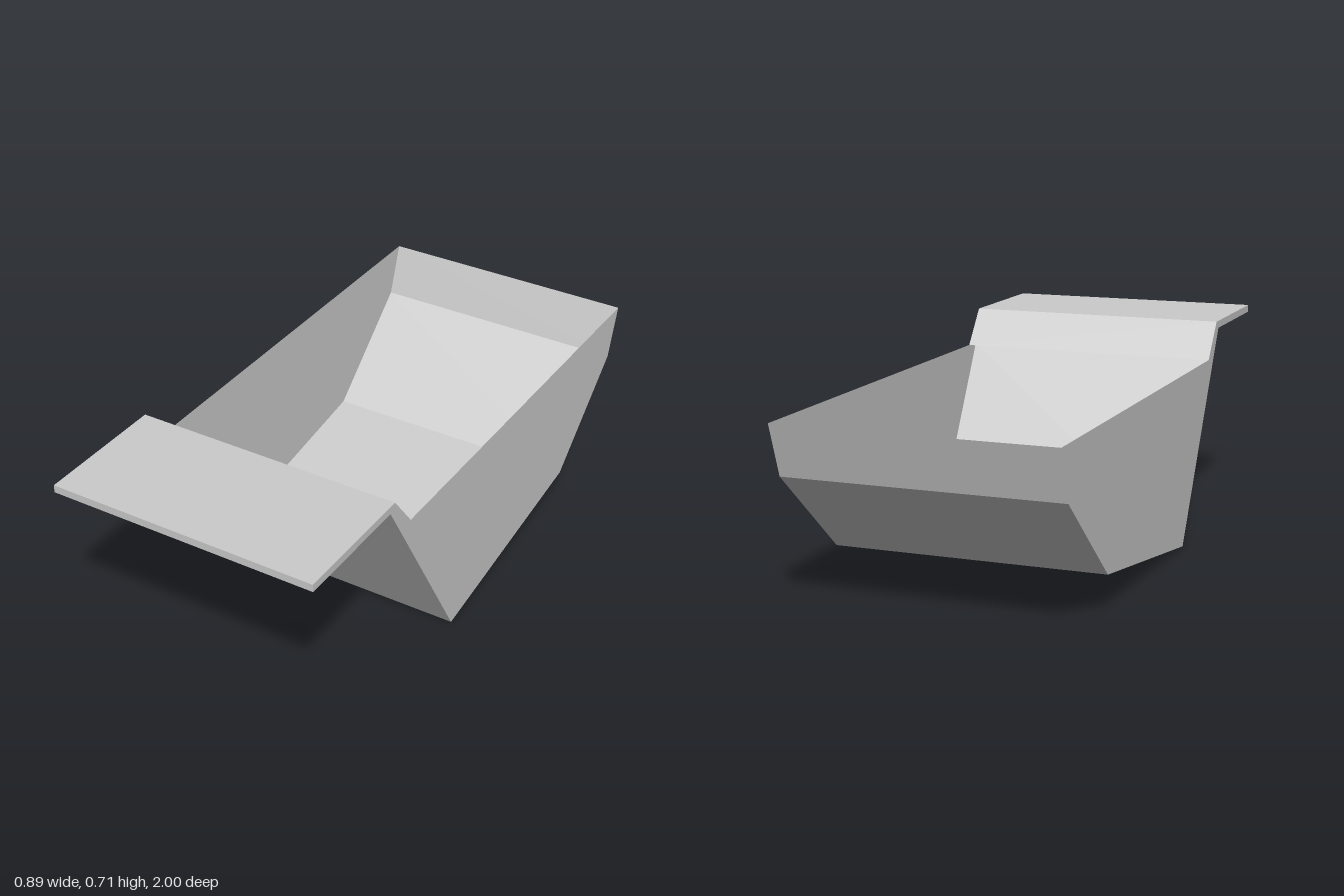
import * as THREE from 'three';

const HALF = 0.447; // half of the width

// Trough section as [z, y], from the front rim under the floor to the back rim
const SECTION = [[0.53, 0.59], [0.187, 0], [-0.598, 0.122], [-0.942, 0.42], [-1, 0.59]];

// Lip section as [z, y]: sloping neck and flat shelf
const LIP = [[1, 0.685], [1, 0.71], [0.56, 0.71], [0.467, 0.59], [0.53, 0.59], [0.586, 0.685]];

const toShape = (points) => new THREE.Shape(points.map(([z, y]) => new THREE.Vector2(z, y)));

export function createModel() {
  const model = new THREE.Group();
  model.name = 'openBucket';
  const material = new THREE.MeshStandardMaterial({
    color: 0xcccccc, flatShading: true, side: THREE.DoubleSide,
  });
  const add = (name, geometry) => {
    const mesh = new THREE.Mesh(geometry, material);
    mesh.name = name;
    model.add(mesh);
    return mesh;
  };

  // Folded sheet: front wall, floor, back slope and back wall
  const sheet = new THREE.PlaneGeometry(2 * HALF, 1, 1, SECTION.length - 1);
  const pos = sheet.attributes.position;
  for (let i = 0; i < pos.count; i++) {
    const [z, y] = SECTION[Math.floor(i / 2)];
    pos.setXYZ(i, pos.getX(i), y, z);
  }
  sheet.computeVertexNormals();
  add('foldedSheet', sheet);

  // Thin side walls, one on each side
  for (const side of [1, -1]) {
    const wall = new THREE.ShapeGeometry(toShape(SECTION)).rotateY(-Math.PI / 2);
    add(side > 0 ? 'leftWall' : 'rightWall', wall).position.x = side * HALF;
  }

  // Solid lip with its shelf
  const lip = new THREE.ExtrudeGeometry(toShape(LIP), { depth: 2 * HALF, bevelEnabled: false });
  lip.translate(0, 0, -HALF).rotateY(-Math.PI / 2);
  add('frontLip', lip);

  return model;
}
